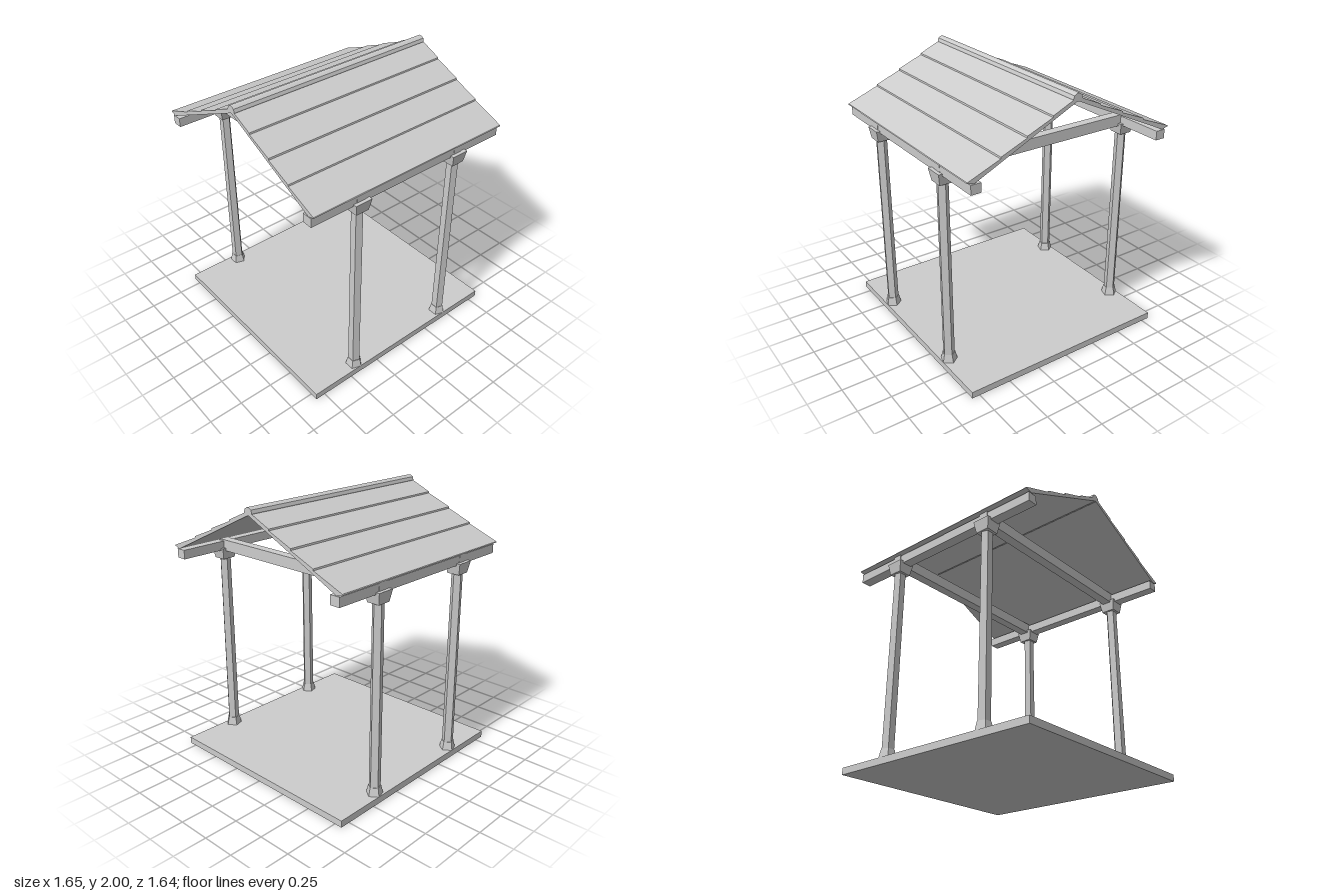
import * as THREE from 'three';

const HALF_LENGTH = 0.825;

// Faceted (flat) normals for a low-poly look
function faceted(geometry) {
  const flat = geometry.toNonIndexed();
  flat.computeVertexNormals();
  return flat;
}

// Extrudes a profile, mirrored about z = 0, along the length of the roof.
// half lists [z, y] points from the bottom centre round to the top centre.
function mirroredExtrusion(half) {
  const other = half.slice(1, -1).reverse().map(([z, y]) => [-z, y]);
  const shape = new THREE.Shape([...half, ...other].map(([z, y]) => new THREE.Vector2(z, y)));
  const geometry = new THREE.ExtrudeGeometry(shape, { depth: 2 * HALF_LENGTH, bevelEnabled: false });
  return geometry.translate(0, 0, -HALF_LENGTH).rotateY(-Math.PI / 2);
}

// Five-sided tapered prism with one corner toward +x
function pentagon(rTop, rBottom, y0, y1) {
  const g = new THREE.CylinderGeometry(rTop, rBottom, y1 - y0, 5, 1, false, Math.PI / 2);
  return faceted(g.translate(0, (y0 + y1) / 2, 0));
}

export function createModel() {
  const model = new THREE.Group();
  model.name = 'pavilion';
  const stone = new THREE.MeshStandardMaterial({ color: 0xcccccc });
  stone.name = 'pale grey';

  const add = (name, geometry, x = 0, y = 0, z = 0, parent = model) => {
    const mesh = new THREE.Mesh(geometry, stone);
    mesh.name = name;
    mesh.position.set(x, y, z);
    parent.add(mesh);
    return mesh;
  };

  // Floor slab
  add('floor', new THREE.BoxGeometry(2 * HALF_LENGTH, 0.05, 1.62), 0, 0.025, 0);

  // Columns with flared feet and square capitals
  const shaft = pentagon(0.041, 0.0435, 0.05, 1.48);
  const foot = pentagon(0.047, 0.061, 0.05, 0.112);
  const capital = faceted(
    new THREE.CylinderGeometry(0.0665 * Math.SQRT2, 0.051 * Math.SQRT2, 0.085, 4)
      .rotateY(Math.PI / 4)
      .scale(1, 1, 0.94)
      .translate(0, 1.4925, 0)
  );
  for (const x of [-0.43, 0.43]) {
    for (const z of [-0.755, 0.755]) {
      const column = new THREE.Group();
      column.name = 'column';
      column.position.set(x, 0, z);
      model.add(column);
      add('columnShaft', shaft, 0, 0, 0, column);
      add('columnFoot', foot, 0, 0, 0, column);
      add('columnCapital', capital, 0, 0, 0, column);
    }
    // Cross beam from front to back
    add('crossBeam', new THREE.BoxGeometry(0.07, 0.082, 1.584), x, 1.556, 0);
  }

  // Long beams under the eaves
  for (const z of [-0.752, 0.752]) {
    add('eaveBeam', new THREE.BoxGeometry(2 * HALF_LENGTH, 0.067, 0.075), 0, 1.5535, z);
  }

  // Gabled roof with four stepped courses on each slope
  add('roof', mirroredExtrusion([
    [0, 1.948], [0.765, 1.59], [0.816, 1.603], [0.813, 1.61],
    [0.577, 1.703], [0.575, 1.714],
    [0.385, 1.791], [0.383, 1.803],
    [0.192, 1.881], [0.19, 1.892],
    [0.03, 1.963], [0, 1.975],
  ]));

  // Ridge cap
  add('ridgeCap', mirroredExtrusion([
    [0, 1.944], [0.036, 1.955], [0.037, 1.966], [0.03, 1.987], [0.012, 1.999], [0, 2],
  ]));

  return model;
}
